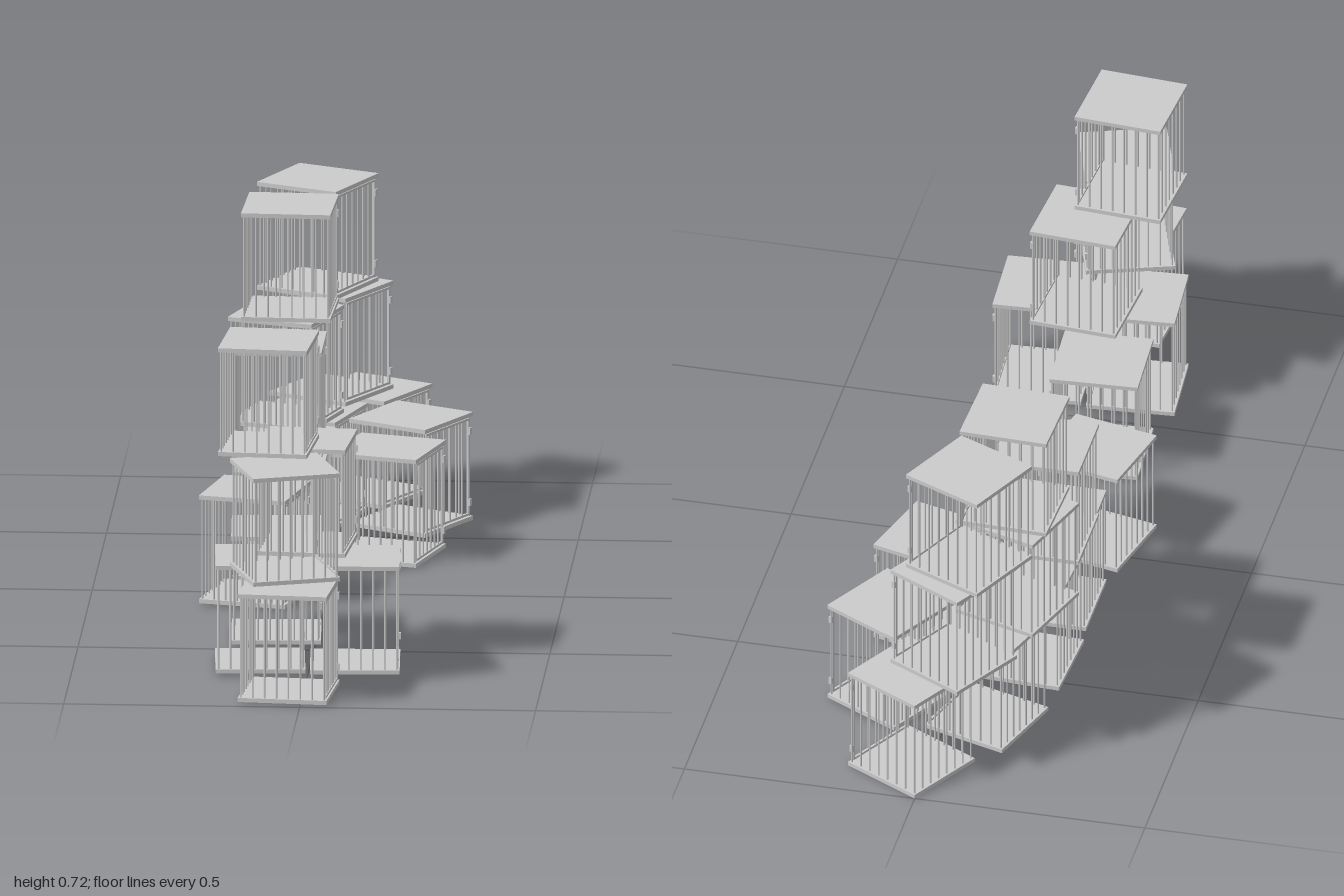
import * as THREE from 'three';
import { mergeGeometries } from 'three/addons/utils/BufferGeometryUtils.js';

const W = 0.19;      // cage width and depth
const H = 0.235;     // cage height
const T = 0.009;     // plate thickness
const R = 0.002;     // bar radius
const BARS = 8;      // bars along each side
const LEVEL = 0.2372; // spacing between stacked layers

// [x, z, layer, turn in degrees, lift]
const CAGES = [
  // small front pyramid
  [-0.087, 0.375, 0, 3, 0.004],
  [0.095, 0.627, 0, 3, 0.004],
  [-0.106, 0.63, 0, 4, 0.004],
  [-0.03, 0.891, 0, -5, 0.004],
  [-0.043, 0.8, 1, 18.5, 0.004],
  [-0.012, 0.555, 1, -4.5, 0.004],
  [-0.087, 0.653, 2, -4.5, 0.006],
  // lone cage in the gap
  [-0.153, 0.046, 0, -13, 0.004],
  // curved back wall, bottom row
  [-0.114, -0.2, 0, 0, 0],
  [-0.115, -0.43, 0, -3, 0],
  [-0.08, -0.67, 0, -18, 0],
  [0.037, -0.871, 0, -29, 0],
  // middle row
  [-0.122, -0.305, 1, 0, 0],
  [-0.124, -0.574, 1, -18, 0],
  [-0.042, -0.815, 1, -29, 0],
  // top row
  [-0.115, -0.56, 2, -2, 0],
  [-0.07, -0.792, 2, -25, 0],
  // loose cages beside the wall
  [0.138, -0.628, 0, -29, 0],
  [0.107, -0.353, 0, -16, 0],
];

const box = (w, h, d, x, y, z) => new THREE.BoxGeometry(w, h, d).translate(x, y, z);

// Upright bars along the back, front and closed side
function barsGeometry() {
  const parts = [];
  const e = W / 2 - 0.006;
  const bar = (x, z) => parts.push(
    new THREE.CylinderGeometry(R, R, H - 2 * T, 6, 1, true).translate(x, H / 2, z));
  for (let i = 0; i < BARS; i++) {
    const t = -e + (2 * e * i) / (BARS - 1);
    bar(t, e);
    bar(t, -e);
    if (i > 0 && i < BARS - 1) bar(-e, t);
  }
  return mergeGeometries(parts);
}

// Framed door on the +x side
function doorGeometry() {
  const parts = [];
  const x = W / 2 - 0.005, e = W / 2 - 0.012, f = 0.005;
  const y0 = T + 0.005, y1 = H - T - 0.005;
  for (const y of [y0, y1]) parts.push(box(f, f, 2 * e, x, y, 0));
  for (const z of [-e, e]) parts.push(box(f, y1 - y0 + f, f, x, H / 2, z));
  for (let i = 1; i < BARS - 1; i++) {
    const z = -e + (2 * e * i) / (BARS - 1);
    parts.push(new THREE.CylinderGeometry(R, R, y1 - y0, 6, 1, true)
      .translate(x, H / 2, z));
  }
  return mergeGeometries(parts);
}

export function createModel() {
  const model = new THREE.Group();
  model.name = 'stackedCages';
  const mat = new THREE.MeshStandardMaterial({ color: 0xcccccc });

  const hingeX = W / 2 - 0.003, hingeZ = -W / 2 + 0.01;
  const parts = {
    floorPlate: box(W, T, W, 0, T / 2, 0),
    roofPlate: box(W, T, W, 0, H - T / 2, 0),
    bars: barsGeometry(),
    door: doorGeometry(),
    hinges: mergeGeometries([0.04, H - 0.04].map(
      y => box(0.008, 0.015, 0.009, hingeX, y, hingeZ))),
  };

  CAGES.forEach(([x, z, layer, turn, lift]) => {
    const cage = new THREE.Group();
    cage.name = 'cage';
    for (const [name, geometry] of Object.entries(parts)) {
      const mesh = new THREE.Mesh(geometry, mat);
      mesh.name = name;
      cage.add(mesh);
    }
    cage.position.set(x, layer * LEVEL + lift, z);
    cage.rotation.y = THREE.MathUtils.degToRad(turn);
    model.add(cage);
  });
  return model;
}
